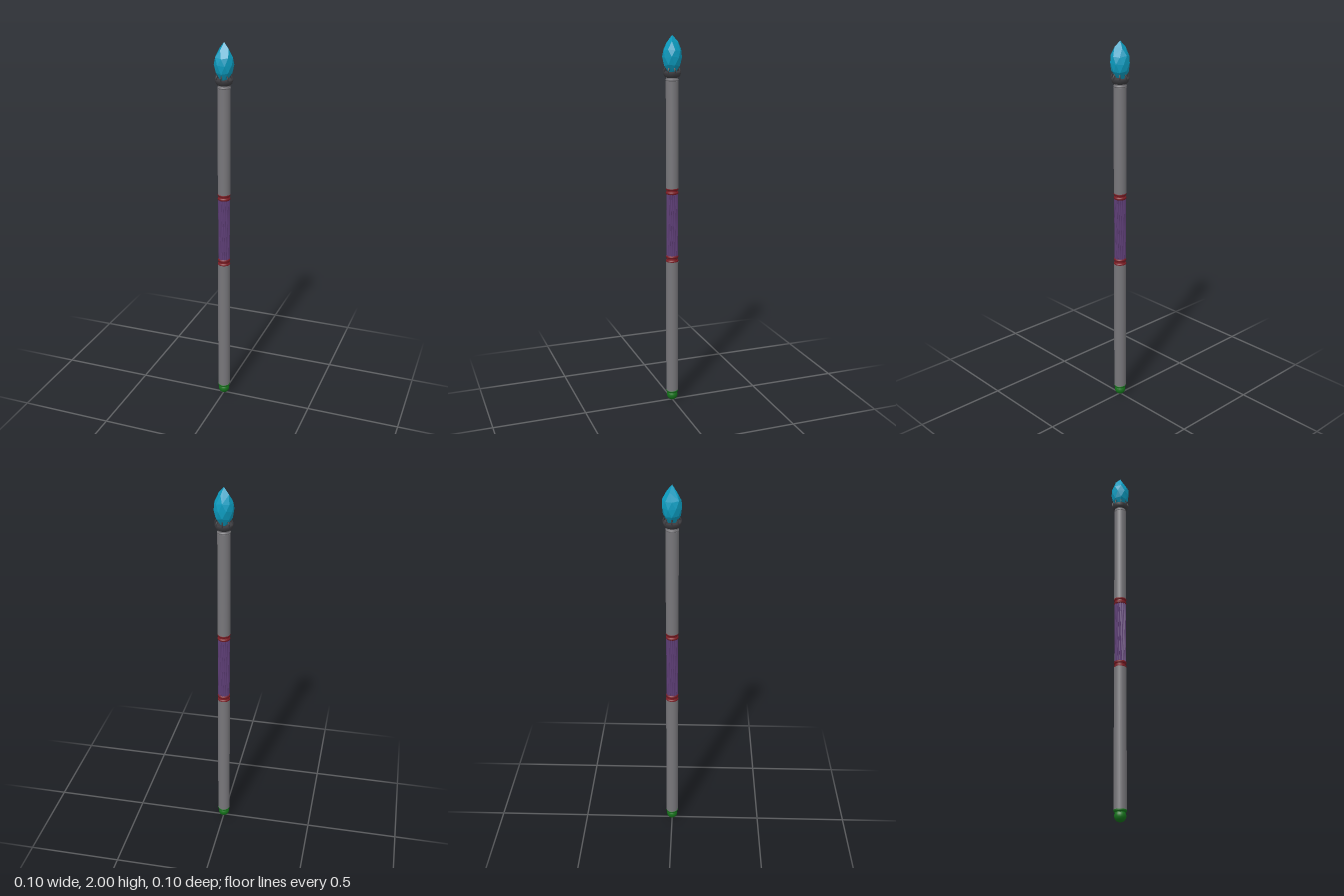
import * as THREE from 'three';
import { ConvexGeometry } from 'three/addons/geometries/ConvexGeometry.js';

const material = (color, flatShading = false) =>
  new THREE.MeshStandardMaterial({ color, flatShading, side: THREE.DoubleSide });

export function createModel() {
  const model = new THREE.Group();
  const grey = material(0x77767a), dark = material(0x3c3c40), red = material(0x7c1c24);
  const purple = material(0x5f3f78), green = material(0x14701a), blue = material(0x0c9cc0, true);

  const add = (name, geometry, mat, y = 0) => {
    const mesh = new THREE.Mesh(geometry, mat);
    mesh.name = name;
    mesh.position.y = y;
    model.add(mesh);
    return mesh;
  };
  const rod = (name, y0, y1, r, mat) =>
    add(name, new THREE.CylinderGeometry(r, r, y1 - y0, 24), mat, (y0 + y1) / 2);
  const ring = (name, y, r, tube, mat) =>
    add(name, new THREE.TorusGeometry(r, tube, 10, 24).rotateX(Math.PI / 2), mat, y);

  // Shaft halves, joined by a core under the grip
  rod('lowerShaft', 0.06, 0.81, 0.033, grey);
  rod('upperShaft', 1.21, 1.77, 0.033, grey);
  rod('shaftNeck', 1.77, 1.8, 0.031, grey);
  ring('neckRing', 1.775, 0.027, 0.007, grey);

  // Grip: core wrapped in slightly twisted cords
  rod('gripCore', 0.81, 1.21, 0.027, purple);
  const cords = 16;
  for (let i = 0; i < cords; i++) {
    const points = [];
    for (let k = 0; k <= 8; k++) {
      const a = (i / cords) * Math.PI * 2 + k * 0.05;
      points.push(new THREE.Vector3(Math.cos(a) * 0.027, 0.84 + k * 0.0425, Math.sin(a) * 0.027));
    }
    add('gripCord', new THREE.TubeGeometry(new THREE.CatmullRomCurve3(points), 10, 0.0045, 6), purple);
  }

  // Paired collars at each end of the grip
  for (const [a, b] of [[0.812, 0.836], [1.208, 1.186]]) {
    rod('gripCollar', Math.min(a, b) - 0.004, Math.max(a, b) + 0.004, 0.029, red);
    ring('collarOuterRing', a, 0.025, 0.009, red);
    ring('collarInnerRing', b, 0.025, 0.009, red);
  }

  // Pommel: collar band and round knob
  ring('pommelBand', 0.056, 0.026, 0.008, green);
  rod('pommelCore', 0.045, 0.062, 0.027, green);
  add('pommelKnob', new THREE.SphereGeometry(0.03, 20, 14), green, 0.03);

  // Crown: open cup with short prongs holding the crystal
  const cup = [[0, 1.785], [0.032, 1.787], [0.041, 1.795], [0.046, 1.81],
    [0.043, 1.817], [0.036, 1.812], [0, 1.805]];
  add('crownCup', new THREE.LatheGeometry(cup.map(p => new THREE.Vector2(...p)), 24), dark);
  const prongs = 8;
  for (let i = 0; i < prongs; i++) {
    const a = (i / prongs) * Math.PI * 2;
    const path = new THREE.CatmullRomCurve3([[0.041, 1.805], [0.044, 1.822], [0.038, 1.837]]
      .map(([r, y]) => new THREE.Vector3(Math.cos(a) * r, y, Math.sin(a) * r)));
    add('crownProng', new THREE.TubeGeometry(path, 6, 0.004, 6), dark);
  }

  // Crystal: hull around staggered rings [count, radius, height, turn]
  const corners = [new THREE.Vector3(0, 2, 0)];
  const rings = [[4, 0.029, 1.966, 0.4], [8, 0.047, 1.926, 0], [8, 0.051, 1.89, 0.39],
    [8, 0.044, 1.85, 0], [6, 0.021, 1.815, 0.2]];
  for (const [count, r, y, turn] of rings) {
    for (let i = 0; i < count; i++) {
      const a = (i / count) * Math.PI * 2 + turn;
      const wobble = Math.sin(i * 2.4 + turn * 5);
      const rr = r * (1 + 0.03 * wobble);
      corners.push(new THREE.Vector3(Math.cos(a) * rr, y + 0.004 * wobble, Math.sin(a) * rr));
    }
  }
  add('crystal', new ConvexGeometry(corners), blue);

  return model;
}
